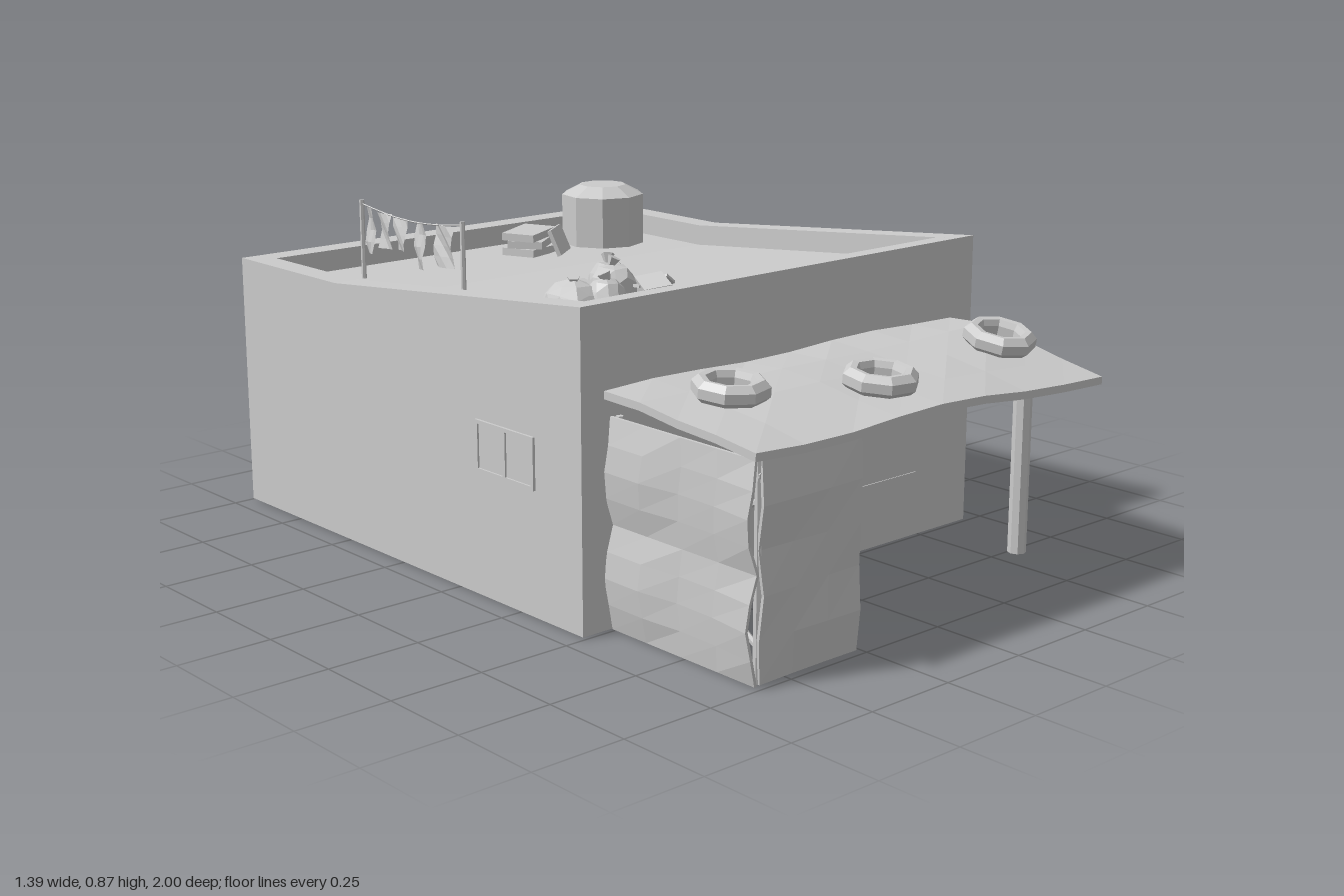
import * as THREE from 'three';
import { RoundedBoxGeometry } from 'three/addons/geometries/RoundedBoxGeometry.js';

const grey = new THREE.MeshStandardMaterial({ color: 0xcccccc, flatShading: true });
const thin = new THREE.MeshStandardMaterial({ color: 0xcccccc, flatShading: true, side: THREE.DoubleSide });
const V = (x, y, z) => new THREE.Vector3(x, y, z);

function add(parent, name, geo, x = 0, y = 0, z = 0, mat = grey) {
  const m = new THREE.Mesh(geo, mat);
  m.name = name;
  m.position.set(x, y, z);
  parent.add(m);
  return m;
}
const box = (parent, name, w, h, d, x, y, z) => add(parent, name, new THREE.BoxGeometry(w, h, d), x, y, z);

// round bar between two points
function bar(parent, name, a, b, r, sides = 6) {
  const m = add(parent, name, new THREE.CylinderGeometry(r, r, a.distanceTo(b), sides));
  m.position.copy(a).add(b).multiplyScalar(0.5);
  m.quaternion.setFromUnitVectors(V(0, 1, 0), b.clone().sub(a).normalize());
  return m;
}

// side outline given as [z, y], swept along x
function prism(points, x0, x1) {
  const shape = new THREE.Shape(points.map(p => new THREE.Vector2(p[0], p[1])));
  return new THREE.ExtrudeGeometry(shape, { depth: x1 - x0, bevelEnabled: false })
    .rotateY(-Math.PI / 2).translate(x1, 0, 0);
}

// move every vertex by a rule
function warp(geo, rule) {
  const p = geo.attributes.position, v = V(0, 0, 0);
  for (let i = 0; i < p.count; i++) {
    rule(v.fromBufferAttribute(p, i));
    p.setXYZ(i, v.x, v.y, v.z);
  }
  geo.computeVertexNormals();
  return geo;
}

const roofY = z => 0.655 + 0.1 * Math.max(0, (z + 0.53) / 1.02);
const awningY = (x, z) => {
  const t = Math.max(0, (z - 0.6) / 0.4);
  const droop = 0.035 * Math.max(0, (x - 0.2) / 0.4) * t;
  return 0.595 - 0.045 * t ** 1.3 - droop + 0.007 * Math.sin(x * 9 + z * 5) * Math.sin(z * 11);
};

function building(g) {
  const side = [[-1, 0.01], [0.49, 0.01], [0.49, 0.815], [-0.53, 0.715], [-1, 0.715]];
  const middle = [[-1, 0.01], [0.49, 0.01], [0.49, 0.815], [0.42, 0.808], [0.42, roofY(0.42)],
    [-0.53, 0.655], [-0.93, 0.655], [-0.93, 0.715], [-1, 0.715]];
  add(g, 'houseAndRoof', prism(middle, -0.62, 0.62));
  add(g, 'leftParapetWall', prism(side, 0.62, 0.69));
  add(g, 'rightParapetWall', prism(side, -0.69, -0.62));
  // shopfront: low panel and two shutters
  box(g, 'frontLowerPanel', 0.52, 0.17, 0.006, 0.22, 0.105, 0.49);
  for (const x of [0.085, 0.3575]) box(g, 'frontWindow', 0.245, 0.36, 0.006, x, 0.372, 0.49);
  // two-pane side windows
  for (const [s, y, z] of [[1, 0.497, 0.075], [-1, 0.402, 0.2]]) {
    const w = new THREE.Group();
    w.name = 'sideWindow';
    w.position.set(s * 0.69, y, z);
    for (const k of [-1, 1]) {
      box(w, 'windowRail', 0.014, 0.01, 0.23, 0, k * 0.062, 0);
      box(w, 'windowPane', 0.004, 0.12, 0.1, 0, 0, k * 0.055);
    }
    for (const k of [-1, 0, 1]) box(w, 'windowStile', 0.014, 0.134, 0.01, 0, 0, k * 0.11);
    g.add(w);
  }
}

function tire(g, x, z) {
  const profile = [[0.055, -0.015], [0.082, -0.024], [0.095, -0.012], [0.095, 0.012],
    [0.078, 0.028], [0.062, 0.026], [0.055, 0.01], [0.055, -0.015]];
  const geo = new THREE.LatheGeometry(profile.map(p => new THREE.Vector2(...p)), 8);
  const t = add(g, 'awningTire', geo, x, awningY(x, z) + 0.035, z, thin);
  const e = 0.07;
  t.rotation.set(Math.atan2(awningY(x, z - e) - awningY(x, z + e), 2 * e), 0.3 + x, 0);
}

function porch(g) {
  // sagging awning sheet
  const sheet = new THREE.BoxGeometry(1.225, 0.02, 0.51, 8, 1, 4).translate(-0.0075, 0, 0.745);
  add(g, 'awning', warp(sheet, v => { v.y += awningY(v.x, v.z); }));
  for (const [x, z] of [[-0.42, 0.71], [-0.05, 0.84], [0.48, 0.765]]) tire(g, x, z);
  // posts and beams
  bar(g, 'middlePost', V(-0.11, 0.03, 0.77), V(-0.11, 0.57, 0.77), 0.025, 8);
  bar(g, 'leftPost', V(0.58, 0.01, 0.77), V(0.58, 0.55, 0.77), 0.025, 8);
  for (const z of [0.5, 0.97]) bar(g, 'framePost', V(-0.58, 0.01, z), V(-0.58, 0.54, z), 0.01);
  bar(g, 'framePost', V(-0.28, 0.01, 0.965), V(-0.28, 0.54, 0.965), 0.01);
  bar(g, 'frameRail', V(-0.58, 0.5, 0.49), V(-0.58, 0.5, 0.98), 0.009);
  bar(g, 'frameRail', V(-0.58, 0.5, 0.965), V(-0.28, 0.5, 0.965), 0.009);
  bar(g, 'crossBrace', V(-0.575, 0.44, 0.97), V(-0.575, 0.2, 0.5), 0.008);
  bar(g, 'crossBrace', V(-0.565, 0.08, 0.97), V(-0.565, 0.38, 0.5), 0.008);
  // loose sheet walls
  const front = new THREE.BoxGeometry(0.32, 0.53, 0.008, 3, 5, 1).translate(-0.425, 0.275, 0.982);
  add(g, 'frontSheet', warp(front, v => {
    v.z += 0.008 * Math.sin(v.y * 24 + v.x * 5);
    v.x += 0.004 * Math.sin(v.y * 37);
  }));
  const side = new THREE.BoxGeometry(0.008, 0.53, 0.49, 1, 8, 4).translate(-0.597, 0.275, 0.737);
  add(g, 'sideSheet', warp(side, v => {
    v.x -= 0.024 * Math.abs(Math.sin((v.y - 0.01) * Math.PI / 0.265)) * (0.6 + 0.4 * Math.sin(v.z * 14));
    v.z += 0.006 * Math.sin(v.y * 30);
  }));
  // stacked sacks
  for (let i = 0; i < 4; i++) {
    const s = add(g, 'stackedSack', new RoundedBoxGeometry(0.13, 0.048, 0.118, 1, 0.016),
      -0.365 + 0.004 * (i % 2), 0.036 + i * 0.05, 0.87);
    s.rotation.y = 0.05 * (i % 3 - 1);
  }
  // leaning ladder
  const L = (t, s) => V(-0.39 - 0.1 * t, 0.01 + 0.335 * t, 0.622 + s * (0.062 - 0.022 * t));
  for (const s of [-1, 1]) bar(g, 'ladderRail', L(0, s), L(1, s), 0.008);
  for (const t of [0.1, 0.3, 0.5, 0.7, 0.97]) bar(g, 'ladderRung', L(t, -1), L(t, 1), 0.007);
  for (const s of [-1, 1]) bar(g, 'ladderBackLeg', L(1, s), V(-0.53, 0.01, 0.622 + s * 0.055), 0.006);
}

function laundry(g) {
  const x = -0.43, z0 = -0.31, z1 = -0.78;
  const lineY = z => 0.868 - 0.02 * Math.sin(Math.PI * (z - z0) / (z1 - z0));
  for (const z of [z0, z1]) bar(g, 'linePole', V(x, 0.65, z), V(x, 0.878, z), 0.007);
  const pts = Array.from({ length: 7 }, (_, i) => z0 + (z1 - z0) * i / 6).map(z => V(x, lineY(z), z));
  add(g, 'clothesLine', new THREE.TubeGeometry(new THREE.CatmullRomCurve3(pts), 12, 0.002, 4));
  // hanging clothes: [z, width, length]
  for (const [z, w, h] of [[-0.395, 0.085, 0.115], [-0.505, 0.04, 0.13], [-0.595, 0.05, 0.09],
    [-0.67, 0.055, 0.1], [-0.74, 0.035, 0.13]]) {
    const geo = new THREE.PlaneGeometry(w, h, 3, 4).rotateY(Math.PI / 2).translate(0, -h / 2, 0);
    warp(geo, v => {
      v.x += 0.008 * Math.sin(v.y * 50 + v.z * 60 + z * 20);
      v.z *= 1 + 1.2 * v.y;
    });
    add(g, 'hangingCloth', geo, x, lineY(z), z, thin);
  }
}

function rubbishBag(g, x, z, r, h, seed) {
  const geo = warp(new THREE.IcosahedronGeometry(1, 1), v => {
    const k = 1 + 0.13 * Math.sin(v.x * 5 + seed) * Math.cos(v.z * 6 + v.y * 4 + seed * 2);
    v.set(v.x * r * k, Math.max(-0.6, v.y) * h * k, v.z * r * k);
  });
  const y = roofY(z) + h * 0.6;
  add(g, 'rubbishBag', geo, x, y, z);
  const knot = add(g, 'bagKnot', new THREE.CylinderGeometry(0.018, 0.008, 0.025, 5), x, y + h, z);
  knot.rotation.set(0.4 * Math.sin(seed), 0, 0.5 * Math.cos(seed));
}

function roofClutter(g) {
  // water tank
  const tank = [[0, 0.65], [0.125, 0.65], [0.125, 0.805], [0.07, 0.833], [0, 0.833]];
  add(g, 'waterTank', new THREE.LatheGeometry(tank.map(p => new THREE.Vector2(...p)), 9), 0.44, 0, -0.77);
  // cardboard pile
  for (let i = 0; i < 3; i++) {
    box(g, 'flatBox', 0.14, 0.022, 0.105, 0.145 + 0.006 * (i % 2), 0.667 + i * 0.025, -0.76)
      .rotation.set(0, 0.4 + 0.25 * (i % 2), 0.04 * (i - 1));
  }
  box(g, 'leaningBoard', 0.12, 0.08, 0.012, 0.215, 0.695, -0.705).rotation.set(-0.4, 0.65, 0, 'YXZ');
  // rubbish heap
  rubbishBag(g, -0.52, 0.26, 0.078, 0.055, 1);
  rubbishBag(g, -0.37, 0.23, 0.062, 0.07, 2.3);
  rubbishBag(g, -0.31, 0.14, 0.055, 0.068, 4.1);
  rubbishBag(g, -0.46, 0.31, 0.055, 0.055, 5.2);
  box(g, 'rubbishBox', 0.07, 0.06, 0.12, -0.32, roofY(0.33) + 0.035, 0.33).rotation.set(0.1, -0.5, 0.2);
  for (let i = 0; i < 14; i++) {
    const a = i * 2.4, r = 0.07 + 0.075 * (i * 0.37 % 1);
    const x = -0.37 + r * Math.cos(a), z = 0.235 + r * Math.sin(a);
    box(g, 'litterScrap', 0.035, 0.008, 0.022, x, roofY(z) + 0.012 + 0.02 * (i % 3), z)
      .rotation.set(0.5 * Math.sin(i * 3), a, 0.6 * Math.cos(i * 2));
  }
}

export function createModel() {
  const model = new THREE.Group();
  model.name = 'house';
  for (const [name, build] of Object.entries({ building, porch, laundry, roofClutter })) {
    const g = new THREE.Group();
    g.name = name;
    build(g);
    model.add(g);
  }
  return model;
}
